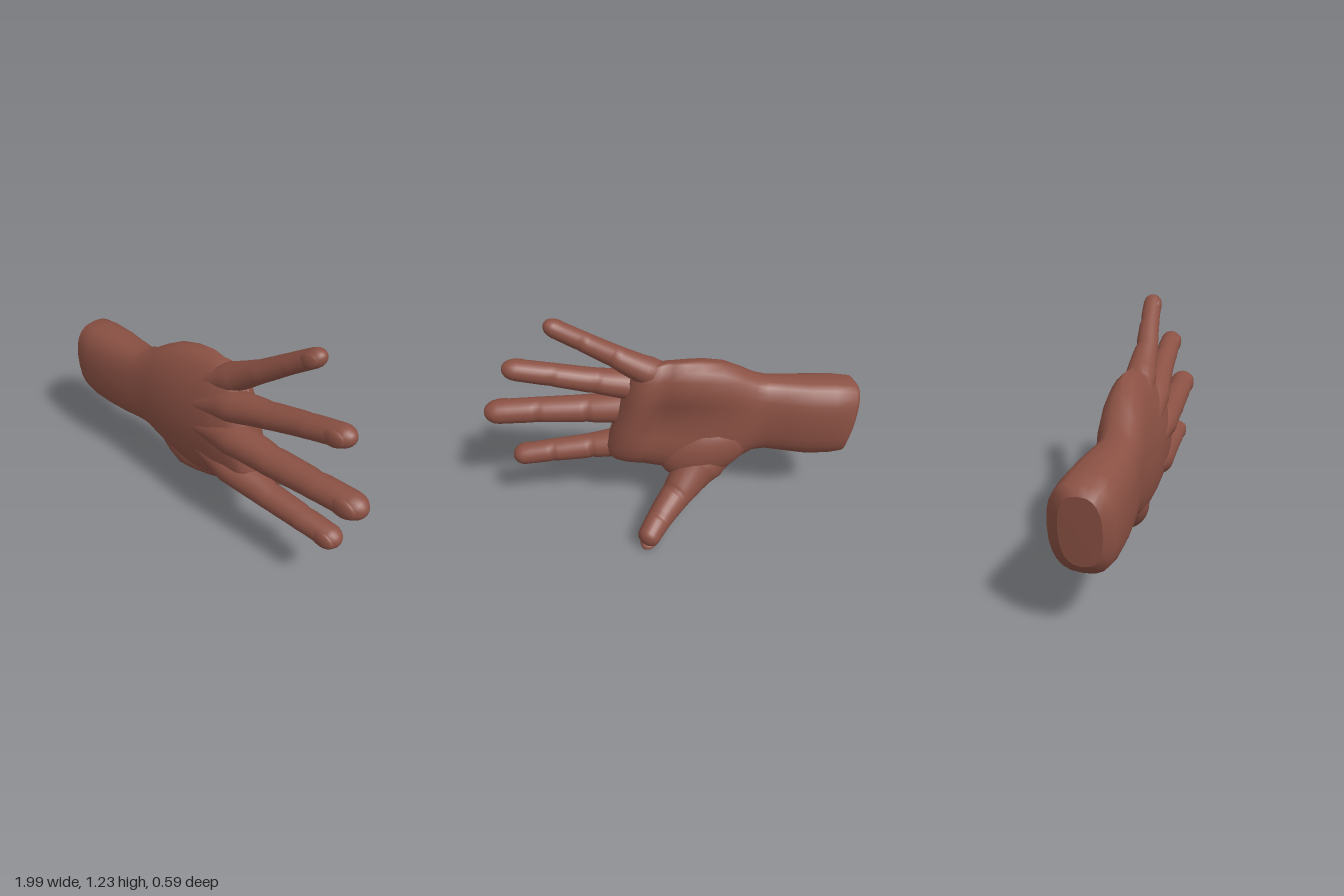
import * as THREE from 'three';

const V = (x, y, z) => new THREE.Vector3(x, y, z);
const SIDES = 24;

// Skins a list of closed rings (arrays of SIDES points) with smooth normals
function skin(rings) {
  const pos = [], idx = [];
  rings.forEach(r => r.forEach(p => pos.push(p.x, p.y, p.z)));
  for (let i = 0; i < rings.length - 1; i++)
    for (let j = 0; j < SIDES; j++) {
      const a = i * SIDES + j, b = i * SIDES + (j + 1) % SIDES;
      idx.push(a, b, a + SIDES, b, b + SIDES, a + SIDES);
    }
  const g = new THREE.BufferGeometry();
  g.setAttribute('position', new THREE.Float32BufferAttribute(pos, 3));
  g.setIndex(idx);
  g.computeVertexNormals();
  return g;
}

const angles = Array.from({ length: SIDES }, (_, j) => j / SIDES * Math.PI * 2);
const soft = (v, e) => Math.sign(v) * Math.abs(v) ** e;
const bump = (v, c, w) => Math.exp(-(((v - c) / w) ** 2));
const ramp = THREE.MathUtils.smoothstep;

// Forearm stump and palm: x, low y, high y, low z, high z
const BODY = [
  [-0.985, 0.55, 0.55, 0.13, 0.13], [-0.983, 0.39, 0.72, 0.04, 0.23], [-0.983, 0.39, 0.72, 0.04, 0.23],
  [-0.945, 0.335, 0.76, -0.02, 0.275], [-0.85, 0.322, 0.775, -0.02, 0.285], [-0.72, 0.322, 0.78, -0.01, 0.285],
  [-0.6, 0.335, 0.785, 0.015, 0.28], [-0.5, 0.348, 0.79, 0.035, 0.27], [-0.43, 0.345, 0.815, 0.03, 0.265],
  [-0.36, 0.31, 0.86, 0.01, 0.265], [-0.26, 0.27, 0.915, 0, 0.27], [-0.15, 0.245, 0.945, 0, 0.272],
  [-0.04, 0.25, 0.953, 0.005, 0.275], [0.05, 0.272, 0.95, 0.02, 0.275], [0.1, 0.285, 0.948, 0.03, 0.275],
  [0.14, 0.298, 0.945, 0.022, 0.272], [0.18, 0.312, 0.942, 0.015, 0.268], [0.23, 0.33, 0.935, 0.025, 0.262],
  [0.27, 0.35, 0.92, 0.05, 0.245], [0.3, 0.39, 0.89, 0.1, 0.2], [0.305, 0.6, 0.65, 0.14, 0.16],
];

function bodyGeometry() {
  return skin(BODY.map(([x, y0, y1, z0, z1]) => {
    const cy = (y0 + y1) / 2, cz = (z0 + z1) / 2;
    const palm = ramp(x, -0.5, 0.05);
    const hollow = palm * (1 - ramp(x, 0.06, 0.2));
    // the stump is cut aslant, and the knuckles slope towards the little finger
    const skew = 0.1 * (1 - ramp(x, -0.96, -0.8)) + 0.33 * ramp(x, -0.15, 0.27);
    return angles.map(a => {
      const s = Math.sin(a);
      const y = cy + (y1 - y0) / 2 * soft(Math.cos(a), 0.82);
      let z = cz + (z1 - z0) / 2 * soft(s, 0.75);
      // little-finger side curls back, and the palm is hollow
      z -= (s < 0 ? 0.1 : 0.22) * palm * Math.max(0, y - 0.62);
      if (s < 0) z += 0.05 * hollow * bump(y, 0.6, 0.11);
      return V(x - skew * (y - 0.6), y, z);
    });
  }));
}

// Digits: path points as x, y, z, radius; back is the side that bears the nail
const DIGITS = [
  { name: 'indexFinger', back: V(0, 0, 1), path: [[-0.08, 0.48, 0.215, 0.045], [0.19, 0.412, 0.19, 0.088],
    [0.45, 0.378, 0.187, 0.067], [0.66, 0.365, 0.182, 0.061], [0.875, 0.35, 0.175, 0.056]] },
  { name: 'middleFinger', back: V(0, 0, 1), path: [[-0.08, 0.59, 0.222, 0.045], [0.2, 0.615, 0.198, 0.09],
    [0.46, 0.619, 0.2, 0.074], [0.72, 0.63, 0.195, 0.067], [0.995, 0.638, 0.185, 0.064]] },
  { name: 'ringFinger', back: V(0, 0, 1), path: [[-0.08, 0.69, 0.205, 0.045], [0.17, 0.77, 0.165, 0.084],
    [0.4, 0.824, 0.15, 0.066], [0.62, 0.88, 0.14, 0.059], [0.86, 0.936, 0.132, 0.054]] },
  { name: 'littleFinger', back: V(0, 0, 1), path: [[-0.08, 0.8, 0.165, 0.045], [0.12, 0.885, 0.112, 0.076],
    [0.3, 0.998, 0.1, 0.056], [0.45, 1.1, 0.08, 0.049], [0.618, 1.211, 0.062, 0.045]] },
  { name: 'thumb', back: V(0.1, -1, 0.1), path: [[-0.42, 0.46, 0.14, 0.07], [-0.17, 0.305, 0.105, 0.128],
    [0, 0.165, -0.03, 0.084], [0.105, 0.11, -0.16, 0.068], [0.187, 0.052, -0.275, 0.058]] },
];
const STEPS = [0, 0.08, 0.16, 0.2, 0.25, 0.29, 0.33, 0.4, 0.46, 0.48, 0.5, 0.52, 0.54, 0.6, 0.66, 0.71,
  0.73, 0.75, 0.77, 0.79, 0.84, 0.89, 0.93, 0.955, 0.975, 0.99, 0.997, 1];

function makeDigit({ name, back, path }, skinMat) {
  const curve = new THREE.CatmullRomCurve3(path.map(p => V(p[0], p[1], p[2])));
  const frame = t => {
    const d = curve.getTangent(t);
    const v = back.clone().addScaledVector(d, -back.dot(d)).normalize();
    const i = Math.min(3, Math.floor(t * 4));
    const r = THREE.MathUtils.lerp(path[i][3], path[i + 1][3], t * 4 - i);
    return { c: curve.getPoint(t), d, v, u: v.clone().cross(d), r };
  };
  const rings = STEPS.map(t => {
    const { c, u, v, r } = frame(t);
    const round = t > 0.93 ? Math.sqrt(Math.max(0, 1 - ((t - 0.93) / 0.07) ** 2)) : 1;
    // joints crease on the palm side and swell on the back
    const joint = bump(t, 0.5, 0.02) + bump(t, 0.75, 0.02);
    return angles.map(a => {
      const s = Math.sin(a);
      const depth = r * round * (1.06 + joint * (s < 0 ? -0.14 : 0.04));
      return c.clone().addScaledVector(u, r * round * Math.cos(a)).addScaledVector(v, depth * s);
    });
  });
  const group = new THREE.Group();
  group.name = name;
  const finger = new THREE.Mesh(skin(rings), skinMat);
  finger.name = name + 'Flesh';
  // nail: a flattened shell on the back of the tip
  const { c, d, u, v, r } = frame(0.91);
  const nail = new THREE.Mesh(new THREE.SphereGeometry(1, 16, 12), skinMat);
  nail.name = name + 'Nail';
  nail.quaternion.setFromRotationMatrix(new THREE.Matrix4().makeBasis(d, u, v));
  nail.position.copy(c).addScaledVector(v, r * 0.72);
  nail.scale.set(r * 1.15, r * 0.78, r * 0.4);
  group.add(finger, nail);
  return group;
}

export function createModel() {
  const model = new THREE.Group();
  model.name = 'hand';
  const skinMat = new THREE.MeshStandardMaterial({ color: 0x8b5144 });
  skinMat.name = 'brown skin';

  const body = new THREE.Mesh(bodyGeometry(), skinMat);
  body.name = 'palmAndWrist';
  model.add(body);

  DIGITS.forEach(d => model.add(makeDigit(d, skinMat)));

  // Fleshy mound at the root of the thumb
  const mound = new THREE.Mesh(new THREE.SphereGeometry(1, 24, 16), skinMat);
  mound.name = 'thumbMound';
  mound.position.set(-0.17, 0.39, 0.09);
  mound.scale.set(0.26, 0.16, 0.107);
  mound.rotation.z = -0.4;
  model.add(mound);
  return model;
}
